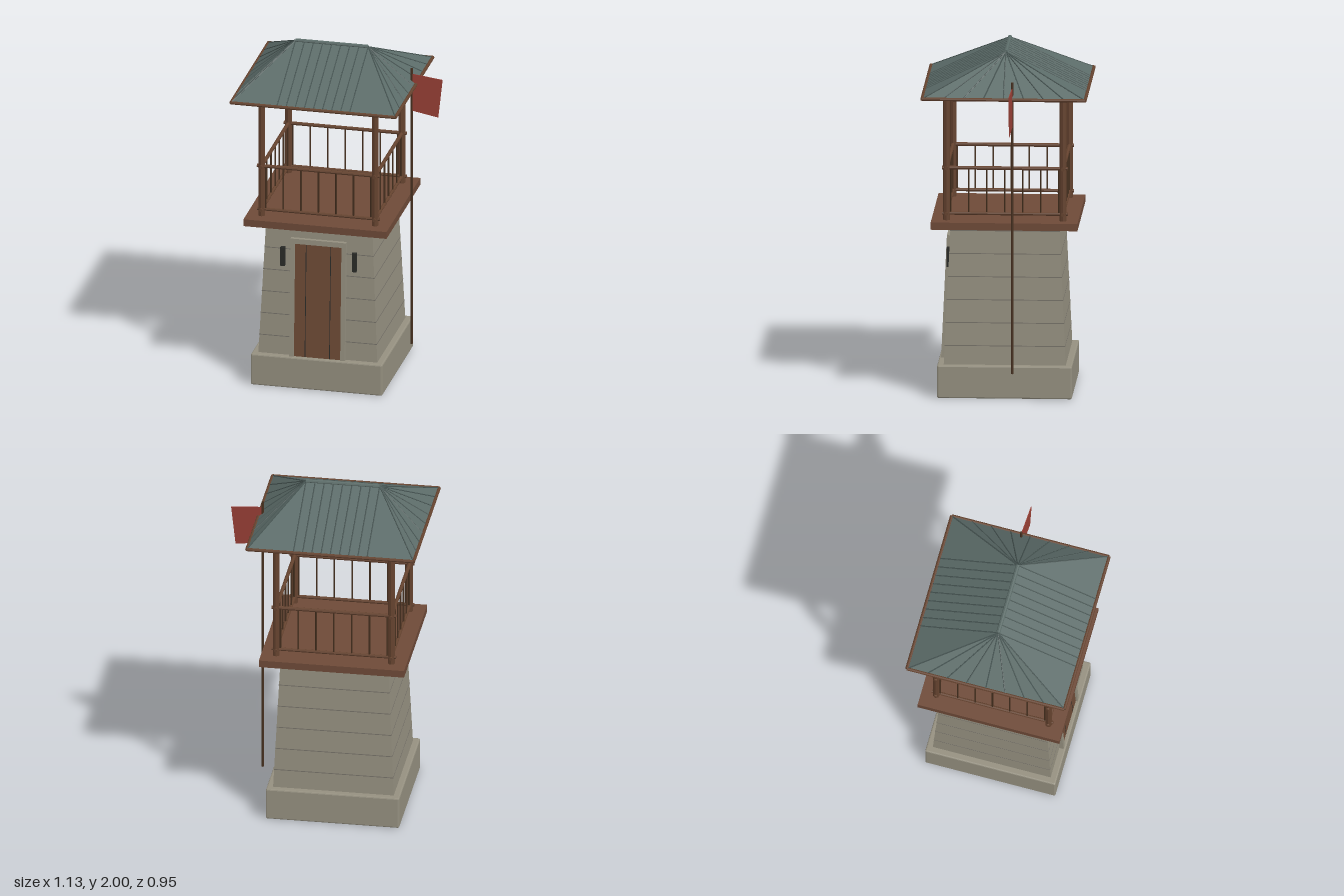
import * as THREE from 'three';
import { RoundedBoxGeometry } from 'three/addons/geometries/RoundedBoxGeometry.js';

const mat = (color, side = THREE.FrontSide) =>
  new THREE.MeshStandardMaterial({ color, side, flatShading: true });

const V = (x, y, z) => new THREE.Vector3(x, y, z);

export function createModel() {
  const stone = mat(0x959080), seamStone = mat(0x77736a), wood = mat(0x65432f);
  const deck = mat(0x6e4a38), doorWood = mat(0x6e4b36), dark = mat(0x2a2b28);
  const poleWood = mat(0x46301f), red = mat(0x9a4036, THREE.DoubleSide);
  const roofMat = mat(0x5c6c69, THREE.DoubleSide), ribMat = mat(0x465452);

  const model = new THREE.Group();
  const tower = new THREE.Group();
  tower.name = 'tower';
  tower.position.x = -0.076;
  model.add(tower);

  const add = (name, geo, material, x = 0, y = 0, z = 0, parent = tower) => {
    const m = new THREE.Mesh(geo, material);
    m.name = name;
    m.position.set(x, y, z);
    parent.add(m);
    return m;
  };
  const box = (name, w, h, d, material, x, y, z, parent) =>
    add(name, new THREE.BoxGeometry(w, h, d), material, x, y, z, parent);
  // round bar between two points
  const rod = (name, a, b, r, material, sides = 8, parent = tower) => {
    const dir = b.clone().sub(a);
    const mid = a.clone().add(b).multiplyScalar(0.5);
    const m = add(name, new THREE.CylinderGeometry(r, r, dir.length(), sides), material, mid.x, mid.y, mid.z, parent);
    m.quaternion.setFromUnitVectors(V(0, 1, 0), dir.normalize());
    return m;
  };
  // square block with tapering sides, given by half widths
  const taper = (top, bottom, h) =>
    new THREE.CylinderGeometry(top * Math.SQRT2, bottom * Math.SQRT2, h, 4).rotateY(Math.PI / 4);

  // stone base and tapering shaft with course seams
  const y0 = 0.19, y1 = 0.99, w0 = 0.349, w1 = 0.312;
  const wall = y => w0 + (w1 - w0) * (y - y0) / (y1 - y0);
  add('base', new RoundedBoxGeometry(0.772, 0.19, 0.772, 1, 0.008), stone, 0, 0.095, 0);
  add('shaft', taper(w1, w0, y1 - y0), stone, 0, (y0 + y1) / 2, 0);
  for (let i = 0; i < 6; i++) {
    const y = 0.3 + i * 0.133;
    add('courseSeam', taper(wall(y) + 0.0015, wall(y) + 0.0015, 0.005), seamStone, 0, y, 0);
  }

  // door leaning with the front wall
  const door = new THREE.Group();
  door.name = 'door';
  door.position.set(0, y0, w0);
  door.rotation.x = -Math.atan((w0 - w1) / (y1 - y0));
  tower.add(door);
  box('doorPanel', 0.275, 0.685, 0.03, doorWood, 0, 0.3425, 0, door);
  for (const s of [-1, 1]) {
    box('doorJamb', 0.026, 0.685, 0.05, stone, s * 0.15, 0.3425, 0, door);
    box('plankSeam', 0.004, 0.68, 0.002, dark, s * 0.072, 0.341, 0.015, door);
  }
  box('doorLintel', 0.326, 0.03, 0.05, stone, 0, 0.7, 0, door);

  // narrow window slits
  for (const s of [-1, 1]) box('windowSlit', 0.026, 0.115, 0.03, dark, s * 0.21, 0.788, 0.324);

  // lookout platform, posts, rails and top beams
  box('platform', 0.84, 0.042, 0.84, deck, 0, 1.01, 0);
  const P = 0.333, L = 0.36;
  for (const x of [-P, P]) for (const z of [-P, P])
    rod('post', V(x, 1.03, z), V(x, 1.745, z), 0.02, wood);
  for (let side = 0; side < 4; side++) {
    const railing = new THREE.Group();
    railing.name = 'railing';
    railing.rotation.y = side * Math.PI / 2;
    tower.add(railing);
    rod('bottomRail', V(-L, 1.07, P), V(L, 1.07, P), 0.01, wood, 8, railing);
    rod('topRail', V(-L, 1.335, P), V(L, 1.335, P), 0.011, wood, 8, railing);
    rod('topBeam', V(-L, 1.738, P), V(L, 1.738, P), 0.013, wood, 8, railing);
    for (let i = -3; i <= 3; i++)
      rod('baluster', V(i * 0.103, 1.07, P), V(i * 0.103, 1.335, P), 0.005, poleWood, 6, railing);
  }

  // hipped roof skin, open underneath
  const ex = 0.482, ez = 0.466, ey = 1.765, rx = 0.213, ry = 1.989;
  const A = [-ex, ey, ez], B = [ex, ey, ez], C = [ex, ey, -ez], D = [-ex, ey, -ez];
  const R = [rx, ry, 0], Q = [-rx, ry, 0];
  const roof = new THREE.BufferGeometry();
  roof.setAttribute('position', new THREE.Float32BufferAttribute(
    [A, B, R, A, R, Q, C, D, Q, C, Q, R, B, C, R, D, A, Q].flat(), 3));
  roof.computeVertexNormals();
  add('roof', roof, roofMat);

  // standing seams: straight on the long slopes, fanned on the hips
  for (const s of [-1, 1]) {
    for (let i = -4; i <= 4; i++) {
      const x = i * rx / 4;
      rod('roofSeam', V(x, ry, 0), V(x, ey, s * ez), 0.004, ribMat, 5);
      rod('hipSeam', V(s * rx, ry, 0), V(s * ex, ey, i * ez / 4), 0.004, ribMat, 5);
    }
    rod('eaveTrim', V(-ex, 1.763, s * ez), V(ex, 1.763, s * ez), 0.01, wood);
    rod('eaveTrim', V(s * ex, 1.763, -ez), V(s * ex, 1.763, ez), 0.01, wood);
  }
  rod('ridgeCap', V(-rx, ry, 0), V(rx, ry, 0), 0.012, roofMat);

  // flagpole and flag
  rod('flagpole', V(0.381, 0.16, -0.048), V(0.381, 1.86, -0.048), 0.007, poleWood, 8, model);
  const cloth = new THREE.Shape([[0.385, 1.826], [0.565, 1.808], [0.539, 1.574], [0.385, 1.599]]
    .map(([x, y]) => new THREE.Vector2(x, y)));
  const flag = new THREE.ExtrudeGeometry(cloth, { depth: 0.004, bevelEnabled: false });
  const p = flag.attributes.position;
  for (let i = 0; i < p.count; i++) p.setZ(i, p.getZ(i) - 0.05 + (p.getX(i) - 0.385) * 0.05);
  flag.computeVertexNormals();
  add('flag', flag, red, 0, 0, 0, model);

  return model;
}
